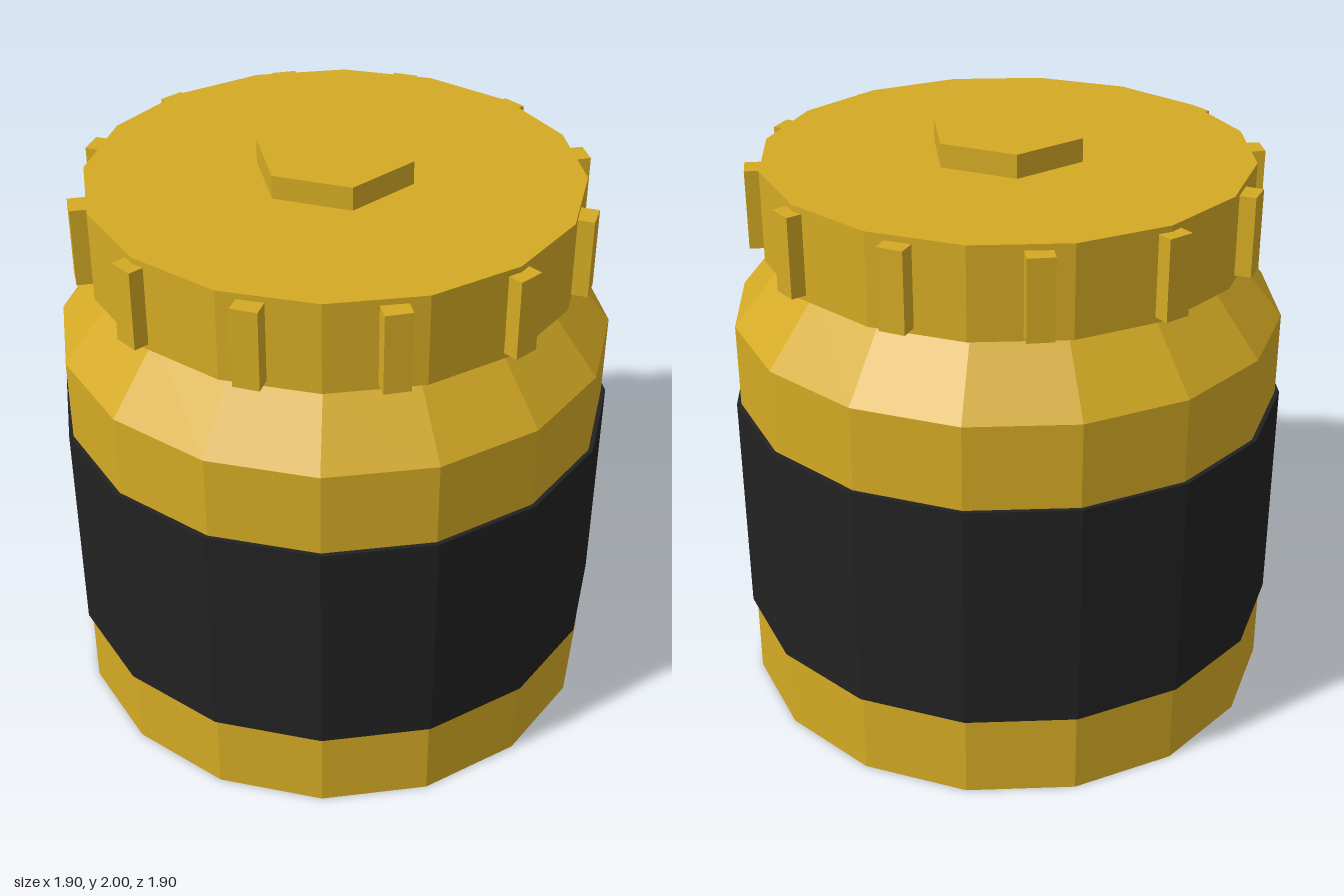
import * as THREE from 'three';

const SIDES = 16;

export function createModel() {
  const model = new THREE.Group();
  model.name = 'canister';

  const gold = new THREE.MeshStandardMaterial({ color: 0xd4aa24, flatShading: true });
  gold.name = 'gold';
  const black = new THREE.MeshStandardMaterial({ color: 0x222222, flatShading: true });
  black.name = 'black';

  const add = (name, geometry, material, parent = model) => {
    const mesh = new THREE.Mesh(geometry, material);
    mesh.name = name;
    parent.add(mesh);
    return mesh;
  };

  // Upright prism between two heights
  const prism = (name, radius, y0, y1, sides, material) => {
    const mesh = add(name, new THREE.CylinderGeometry(radius, radius, y1 - y0, sides), material);
    mesh.position.y = (y0 + y1) / 2;
    return mesh;
  };

  // Body with sloped shoulder, running up into the lid
  const profile = [[0, 0], [0.935, 0], [0.935, 1.385], [0.75, 1.615], [0, 1.615]]
    .map(([r, y]) => new THREE.Vector2(r, y));
  add('body', new THREE.LatheGeometry(profile, SIDES), gold);

  // Label band around the body
  prism('band', 0.95, 0.295, 1.095, SIDES, black);

  // Lid and hexagonal cap
  prism('lid', 0.82, 1.61, 1.92, SIDES, gold);
  prism('hexCap', 0.267, 1.91, 2, 6, gold);

  // Grip ribs around the lid
  const ribs = new THREE.Group();
  ribs.name = 'gripRibs';
  model.add(ribs);
  const ribGeometry = new THREE.BoxGeometry(0.087, 0.27, 0.09);
  for (let i = 0; i < 12; i++) {
    const angle = (i / 12) * Math.PI * 2;
    const rib = add('gripRib', ribGeometry, gold, ribs);
    rib.position.set(Math.sin(angle) * 0.818, 1.765, Math.cos(angle) * 0.818);
    rib.rotation.y = angle;
  }

  return model;
}
